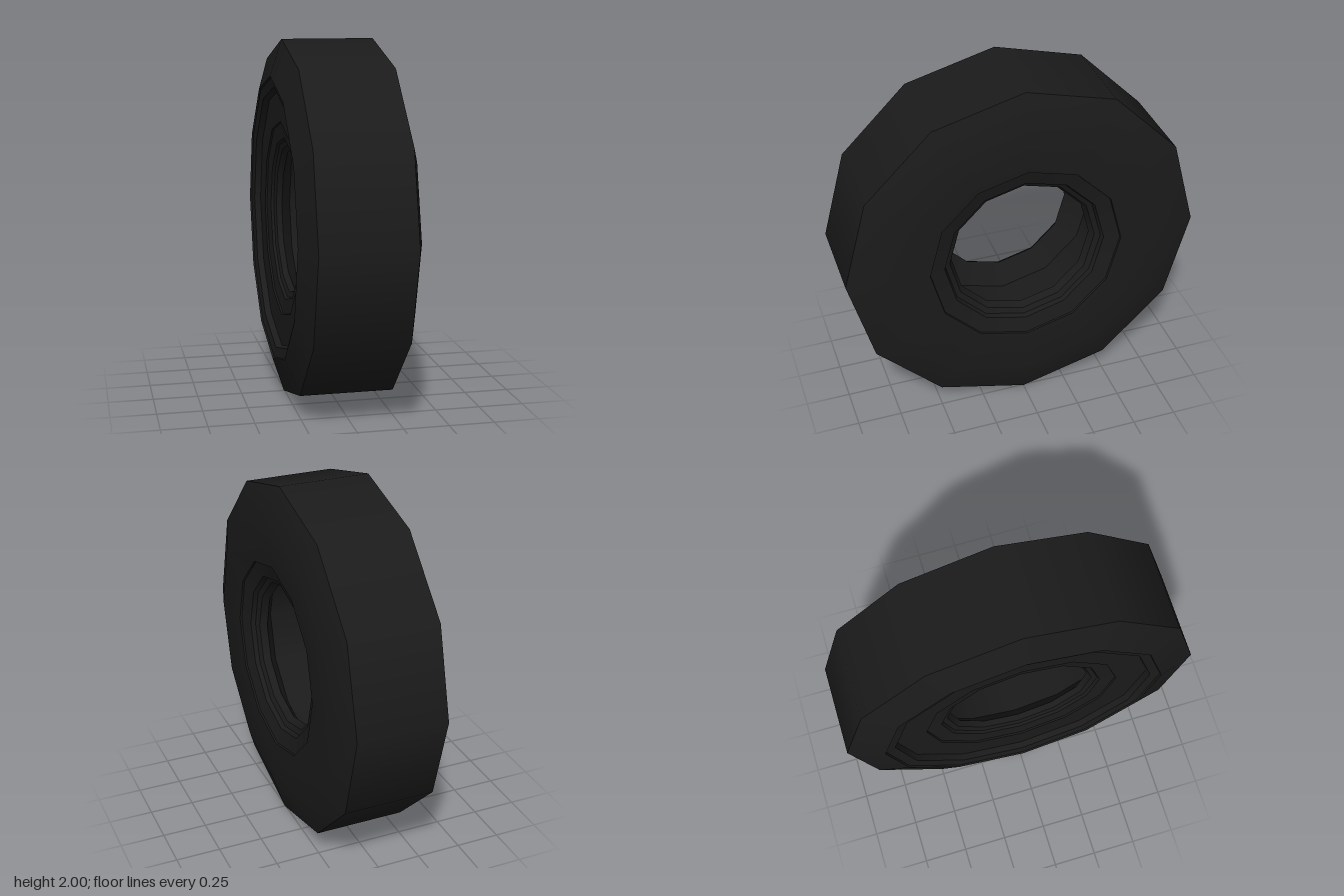
import * as THREE from 'three';

export function createModel() {
  const model = new THREE.Group();
  model.name = 'tyre';
  const rubber = new THREE.MeshStandardMaterial({ color: 0x1b1b1b });
  rubber.name = 'black rubber';

  // Each band is a run of [radius, x] points turned about the x axis:
  // smooth inside a run, sharp where two runs meet.
  function band(name, points) {
    const profile = points.map(([r, x]) => new THREE.Vector2(r, x));
    const geometry = new THREE.LatheGeometry(profile, 12);
    geometry.rotateZ(-Math.PI / 2);
    const mesh = new THREE.Mesh(geometry, rubber);
    mesh.name = name;
    mesh.position.y = 1;
    model.add(mesh);
  }

  // Outer running surface
  band('tread', [[1, -0.255], [1, 0.255]]);

  // Left side: shoulder and sidewall, then the bead stepping into the hole
  band('leftSidewall', [[1, 0.255], [0.8, 0.32], [0.55, 0.305]]);
  band('leftStep', [[0.55, 0.305], [0.547, 0.295]]);
  band('leftBead', [[0.547, 0.295], [0.46, 0.27]]);
  band('leftBeadWall', [[0.46, 0.27], [0.45, 0.245]]);
  band('leftLip', [[0.45, 0.245], [0.42, 0.23]]);
  band('leftLipWall', [[0.42, 0.23], [0.4, 0.19]]);

  // Hollow between the two lips
  band('hollowLeftWall', [[0.4, 0.19], [0.53, 0.12]]);
  band('hollowFloor', [[0.53, 0.12], [0.53, -0.12]]);
  band('hollowRightWall', [[0.53, -0.12], [0.4, -0.19]]);

  // Right side: the same bead inside a deeper stepped recess
  band('rightLipWall', [[0.4, -0.19], [0.42, -0.22]]);
  band('rightLip', [[0.42, -0.22], [0.45, -0.23]]);
  band('rightBeadWall', [[0.45, -0.23], [0.46, -0.245]]);
  band('rightBead', [[0.46, -0.245], [0.547, -0.255]]);
  band('rightStep', [[0.547, -0.255], [0.55, -0.265]]);
  band('recessFloor', [[0.55, -0.265], [0.73, -0.265]]);
  band('recessWall', [[0.73, -0.265], [0.74, -0.3]]);
  band('rightRim', [[0.74, -0.3], [0.795, -0.31]]);
  band('rightRimStep', [[0.795, -0.31], [0.8, -0.32]]);
  band('rightShoulder', [[0.8, -0.32], [1, -0.255]]);

  return model;
}
